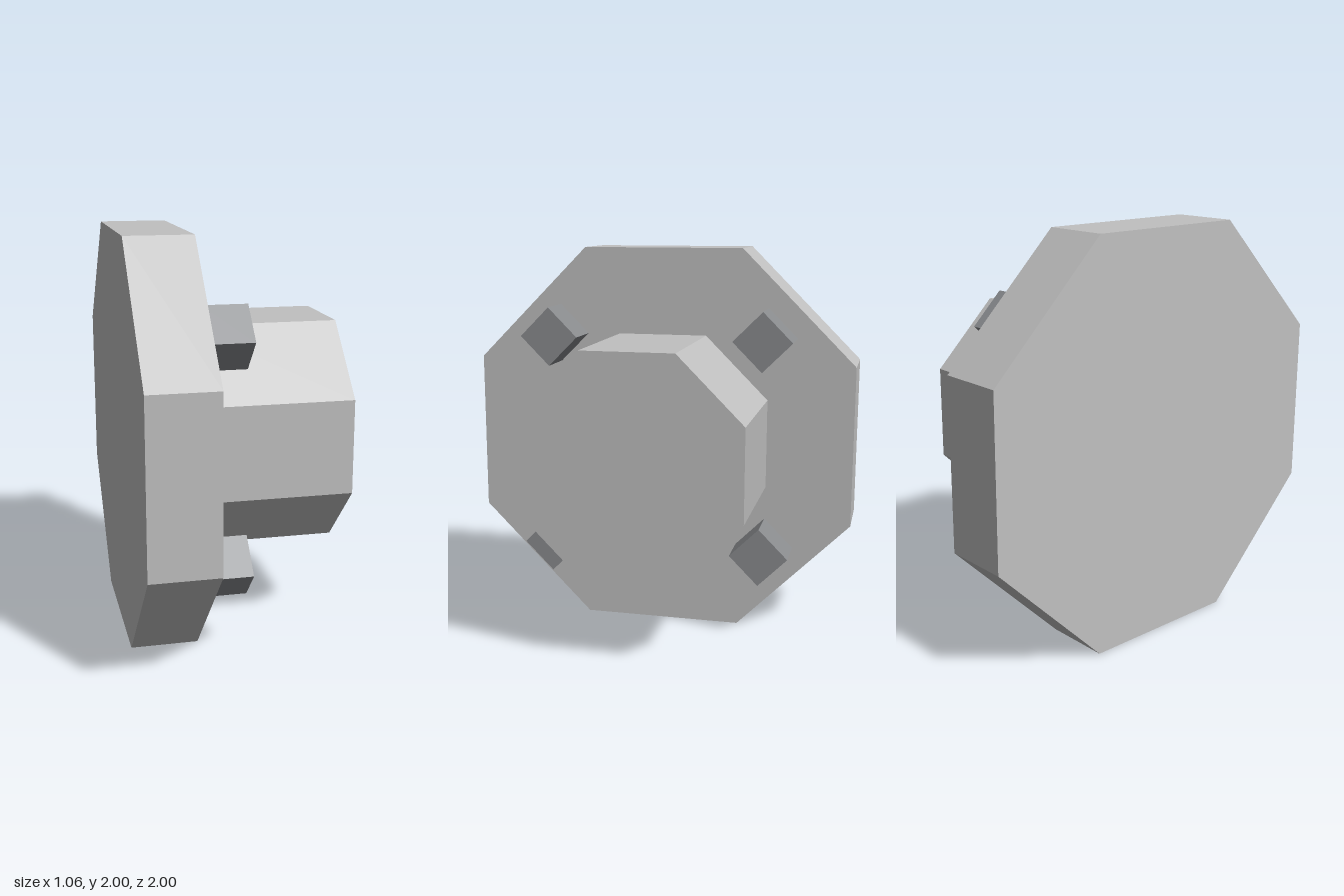
import * as THREE from 'three';

const steel = new THREE.MeshStandardMaterial({ color: 0xc0c0c0 });
steel.name = 'light steel';
const darkSteel = new THREE.MeshStandardMaterial({ color: 0x8a8c8f });
darkSteel.name = 'dark steel';

// Faceted prism lying along x, from x0 to x1, centred on (y, z)
function prism(name, material, sides, radius, x0, x1, y, z, turn) {
  const geometry = new THREE.CylinderGeometry(radius, radius, x1 - x0, sides, 1, false, turn)
    .toNonIndexed();
  geometry.computeVertexNormals(); // flat facets
  geometry.rotateZ(-Math.PI / 2);
  const mesh = new THREE.Mesh(geometry, material);
  mesh.name = name;
  mesh.position.set((x0 + x1) / 2, y, z);
  return mesh;
}

export function createModel() {
  const model = new THREE.Group();
  model.name = 'flangedHub';
  const face = -0.202; // mounting face of the flange
  const toCorner = 1 / Math.cos(Math.PI / 8); // flat-to-flat half width to corner radius

  // Wide octagonal flange and narrower hub
  model.add(prism('flange', steel, 8, toCorner, -0.532, face, 1, 0, Math.PI / 8));
  model.add(prism('hub', steel, 8, 0.555 * toCorner, face, 0.532, 1, 0, Math.PI / 8));

  // Four square bolts standing on their corners
  const bolts = new THREE.Group();
  bolts.name = 'bolts';
  for (const sy of [-1, 1]) {
    for (const sz of [-1, 1]) {
      bolts.add(prism('bolt', darkSteel, 4, 0.15, face, 0.012, 1 + sy * 0.552, sz * 0.552, 0));
    }
  }
  model.add(bolts);
  return model;
}
